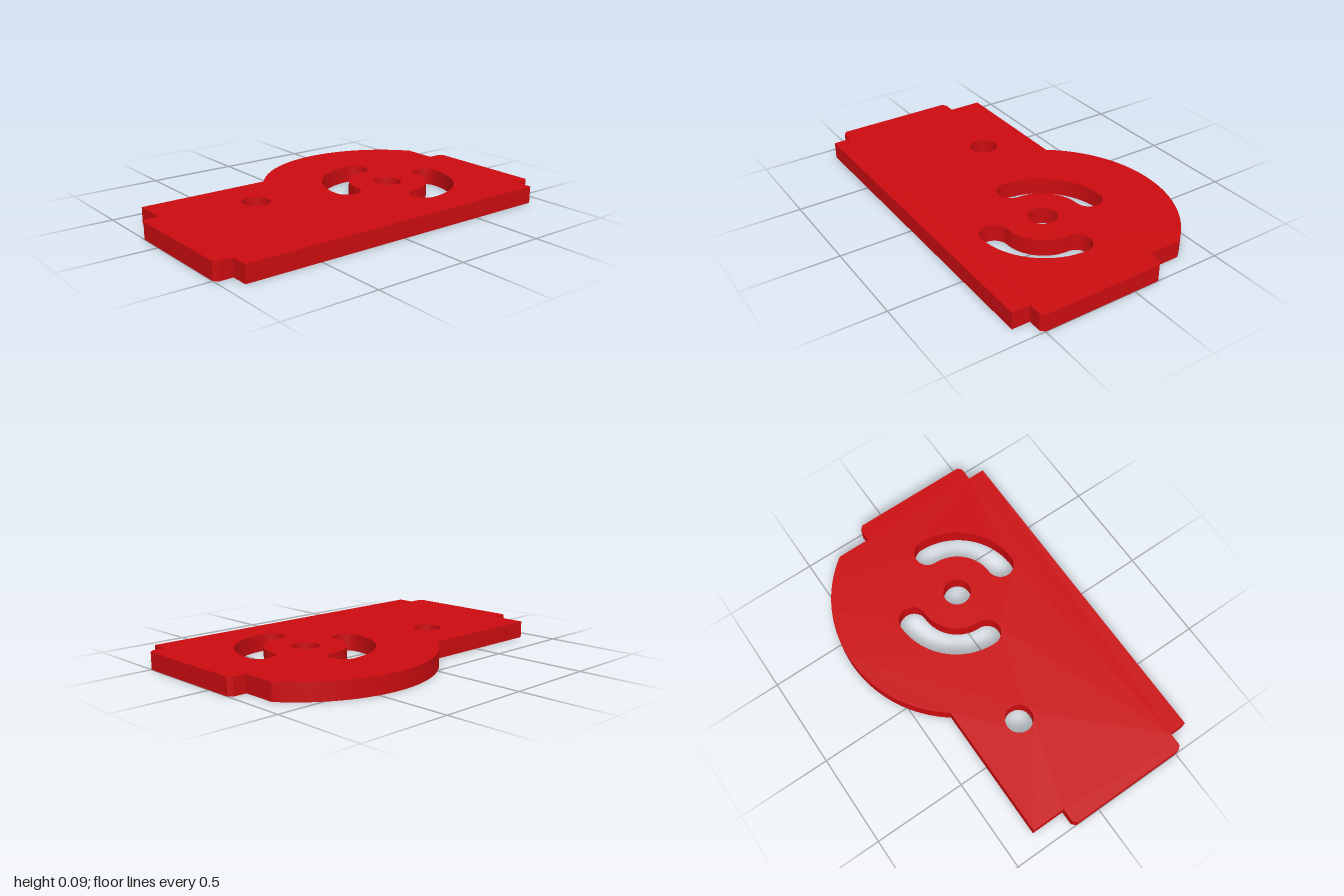
import * as THREE from 'three';
import { toCreasedNormals } from 'three/addons/utils/BufferGeometryUtils.js';

const THICKNESS = 0.092;
const PIVOT = { x: 0.066, y: 0.366 }; // plan coordinates, y pointing to the back
const HOLE_R = 0.074;
const SLOT_R = 0.286;

function roundHole(x, y) {
  return new THREE.Path().absarc(x, y, HOLE_R, 0, Math.PI * 2, false);
}

// Curved slot with rounded ends, centred on the pivot
function arcSlot(a0, a1) {
  const { x, y } = PIVOT;
  const end = (a) => [x + SLOT_R * Math.cos(a), y + SLOT_R * Math.sin(a)];
  return new THREE.Path()
    .absarc(x, y, SLOT_R + HOLE_R, a0, a1, false)
    .absarc(...end(a1), HOLE_R, a1, a1 + Math.PI, false)
    .absarc(x, y, SLOT_R - HOLE_R, a1, a0, true)
    .absarc(...end(a0), HOLE_R, a0 + Math.PI, a0 + Math.PI * 2, false);
}

function plateShape() {
  const left = -0.343, right = 0.612, edge = 0.908;
  const tabL = -0.16, tabR = 0.518, tabEnd = 1, c = 0.02;
  const discR = 0.679;
  const s = new THREE.Shape();
  // front edge with chamfered tab
  s.moveTo(left, -edge);
  s.lineTo(tabL, -edge);
  s.lineTo(tabL, -tabEnd + c);
  s.lineTo(tabL + c, -tabEnd);
  s.lineTo(tabR - c, -tabEnd);
  s.lineTo(tabR, -tabEnd + c);
  s.lineTo(tabR, -edge);
  s.lineTo(right, -edge);
  // back edge with matching tab
  s.lineTo(right, edge);
  s.lineTo(tabR, edge);
  s.lineTo(tabR, tabEnd - c);
  s.lineTo(tabR - c, tabEnd);
  s.lineTo(tabL + c, tabEnd);
  s.lineTo(tabL, tabEnd - c);
  s.lineTo(tabL, edge);
  // round bulge on the side, concentric with the pivot
  const half = Math.acos((PIVOT.x - left) / discR);
  s.absarc(PIVOT.x, PIVOT.y, discR, Math.PI - half, Math.PI + half, false);
  s.closePath();

  s.holes.push(
    roundHole(PIVOT.x, PIVOT.y),
    roundHole(-0.071, -0.404),
    arcSlot(0, Math.PI / 2),
    arcSlot(Math.PI, Math.PI * 1.5),
  );
  return s;
}

export function createModel() {
  const group = new THREE.Group();
  group.name = 'slottedPlate';
  const extruded = new THREE.ExtrudeGeometry(plateShape(), {
    depth: THICKNESS, bevelEnabled: false, curveSegments: 32,
  });
  extruded.rotateX(-Math.PI / 2); // lay flat, thickness upward
  const plate = new THREE.Mesh(
    toCreasedNormals(extruded, Math.PI / 6),
    new THREE.MeshStandardMaterial({ color: 0xcc0c10 }),
  );
  plate.name = 'plate';
  group.add(plate);
  return group;
}
